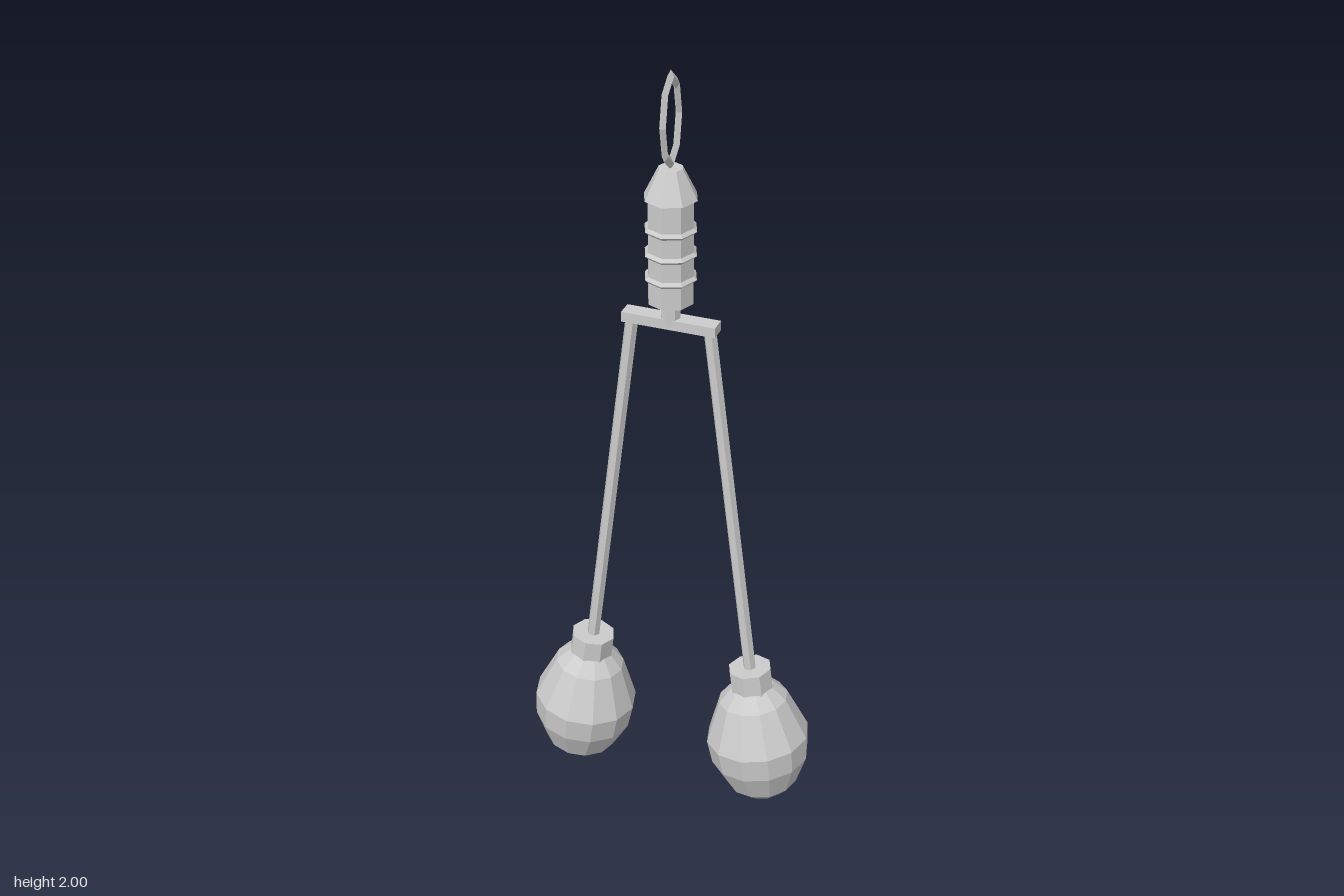
import * as THREE from 'three';

const material = new THREE.MeshStandardMaterial({ color: 0xcccccc, flatShading: true });

function add(parent, name, geometry, y = 0) {
  const mesh = new THREE.Mesh(geometry, material);
  mesh.name = name;
  mesh.position.y = y;
  parent.add(mesh);
  return mesh;
}

// Cylinder given by its bottom and top heights
function post(parent, name, rTop, rBottom, y0, y1, sides) {
  const geometry = new THREE.CylinderGeometry(rTop, rBottom, y1 - y0, sides);
  return add(parent, name, geometry, (y0 + y1) / 2);
}

// Swinging arm: rod, collar and faceted bulb, hanging down from its pivot
function createArm(side) {
  const arm = new THREE.Group();
  arm.name = side > 0 ? 'leftArm' : 'rightArm';
  post(arm, 'rod', 0.0165, 0.0165, -1.0, 0.005, 6).rotation.y = Math.PI / 6;
  post(arm, 'collar', 0.057, 0.057, -1.03, -0.967, 8);
  const profile = [
    [0, -1.35], [0.055, -1.35], [0.092, -1.318], [0.128, -1.24],
    [0.135, -1.174], [0.09, -1.06], [0.055, -1.023], [0, -1.023],
  ].map(([r, y]) => new THREE.Vector2(r, y));
  add(arm, 'bulb', new THREE.LatheGeometry(profile, 12));
  arm.position.set(side * 0.1, 1.35, 0);
  arm.rotation.z = side * THREE.MathUtils.degToRad(7);
  return arm;
}

export function createModel() {
  const model = new THREE.Group();
  model.name = 'twinBulbPendulum';

  // Hanging loop, stretched upright in the side plane
  const loop = new THREE.TorusGeometry(0.053, 0.008, 4, 8);
  loop.rotateY(Math.PI / 2).scale(1, 2.02, 1);
  add(model, 'hangingLoop', loop, 1.877);

  // Handle with tapered cap and grip rings
  post(model, 'handleCap', 0.03, 0.067, 1.685, 1.76, 8);
  post(model, 'handle', 0.058, 0.058, 1.415, 1.685, 8);
  for (const y of [1.48, 1.543, 1.606]) {
    add(model, 'gripRing', new THREE.TorusGeometry(0.058, 0.008, 4, 8).rotateX(Math.PI / 2), y);
  }

  // Neck and crossbar
  post(model, 'neck', 0.025, 0.025, 1.36, 1.42, 8);
  add(model, 'crossbar', new THREE.BoxGeometry(0.24, 0.026, 0.043), 1.358);

  for (const side of [1, -1]) model.add(createArm(side));
  return model;
}
